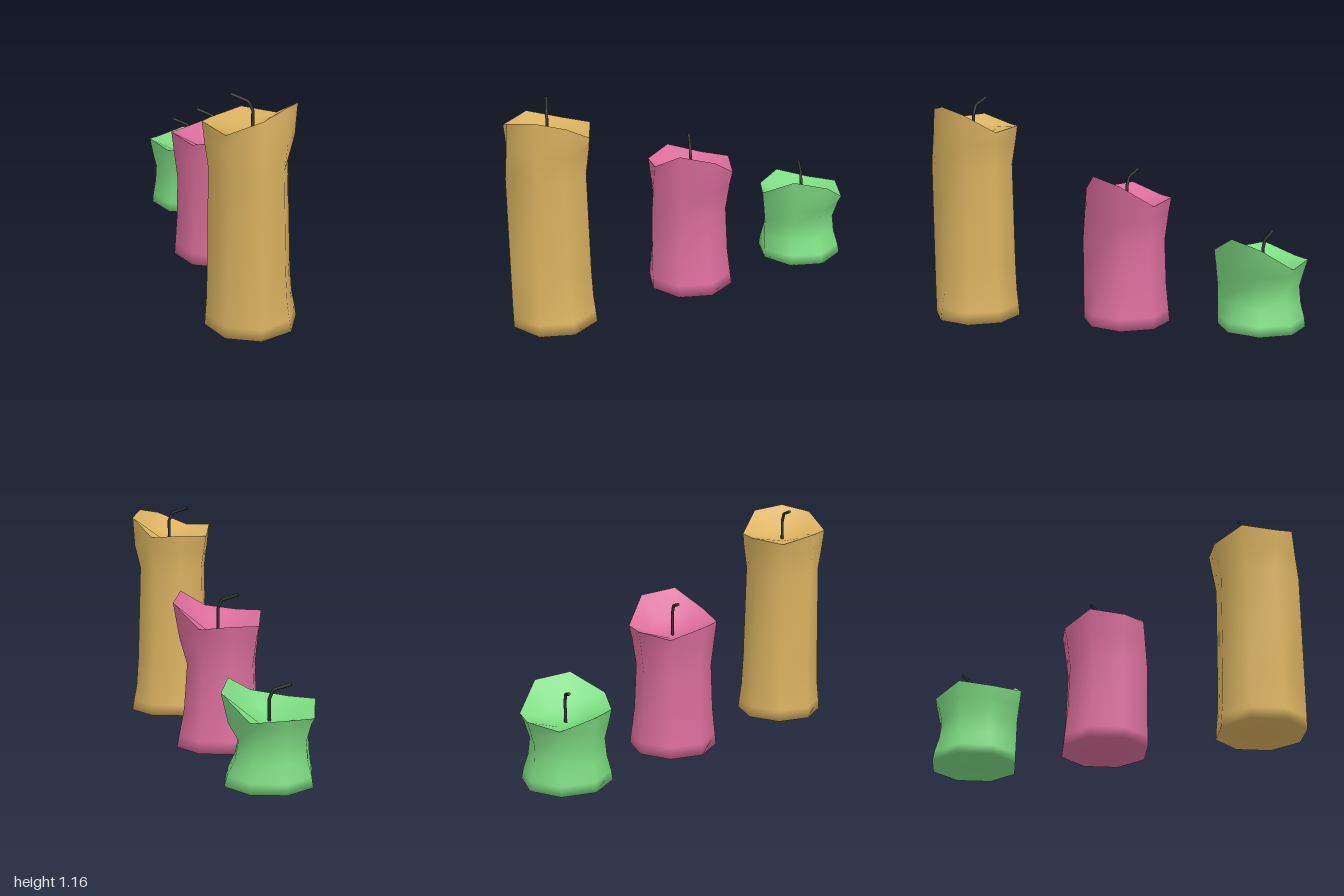
import * as THREE from 'three';

const SIDES = 8;
const RADIUS = 0.229;

// Shared patterns for the eight corners, starting at +x and turning towards +z
const DENT = [1, 0.95, -0.05, 0.5, 0.35, 0.55, 0.5, 0.65]; // how far the wall sags inward
const RIM_RADIUS = [0.246, 0.216, 0.224, 0.228, 0.238, 0.231, 0.233, 0.227];
const RIM_RISE = [0.12, 0.152, 0.057, 0.033, 0.052, 0, 0.022, 0.005];

// rings: [height, sag depth]; the last one flares halfway out to the rim
const CANDLES = [
  {
    name: 'tallCandle', z: 0.757, color: 0xdbb360, floor: 0.98, knee: 1.125,
    rimBase: 1.005, rise: 0.84, lean: 0.033, frontLift: 0.05, frontReach: 0,
    rings: [[0, 0], [0.06, 0.01], [0.14, 0.026], [0.3, 0.038], [0.82, 0.056], [0.95, 0.035]],
  },
  {
    name: 'mediumCandle', z: -0.05, color: 0xdb6e9b, floor: 0.6, knee: 0.765,
    rimBase: 0.645, rise: 1, lean: 0, frontLift: 0, frontReach: -0.01,
    rings: [[0, 0], [0.06, 0.012], [0.2, 0.04], [0.44, 0.058], [0.58, 0.05]],
  },
  {
    name: 'shortCandle', z: -0.76, color: 0x7edc83, floor: 0.3, knee: 0.455,
    rimBase: 0.34, rise: 1, lean: 0, frontLift: 0, frontReach: 0.028,
    rings: [[0, 0], [0.05, 0.014], [0.13, 0.055], [0.22, 0.072], [0.31, 0.055]],
  },
];

// Builds one ring of corners from radius and height rules
function makeRing(radius, height) {
  return Array.from({ length: SIDES }, (_, k) => {
    const a = (k / SIDES) * Math.PI * 2;
    return [radius(k) * Math.cos(a), height(k), radius(k) * Math.sin(a)];
  });
}

// Joins rings and closes one end with a fan
function loft(rings, capPoint, capAtEnd) {
  const pos = rings.flat(2);
  const centre = pos.length / 3;
  const capStart = capAtEnd ? centre - SIDES : 0;
  const idx = [];
  for (let k = 0; k < SIDES; k++) {
    const n = (k + 1) % SIDES;
    for (let j = 0; j < rings.length - 1; j++) {
      const a = j * SIDES + k, b = j * SIDES + n;
      idx.push(a, a + SIDES, b, b, a + SIDES, b + SIDES);
    }
    if (capAtEnd) idx.push(capStart + k, centre, capStart + n);
    else idx.push(capStart + k, capStart + n, centre);
  }
  const g = new THREE.BufferGeometry();
  g.setAttribute('position', new THREE.Float32BufferAttribute([...pos, ...capPoint], 3));
  g.setIndex(idx);
  g.computeVertexNormals();
  return g;
}

function addMesh(parent, name, geometry, material) {
  const mesh = new THREE.Mesh(geometry, material);
  mesh.name = name;
  parent.add(mesh);
  return mesh;
}

// Bent wick: upright stem and a tip leaning to the side
function makeWick(floor, knee, material) {
  const wick = new THREE.Group();
  wick.name = 'wick';
  const pts = [
    new THREE.Vector3(0, floor - 0.02, 0),
    new THREE.Vector3(0.002, knee - 0.045, 0),
    new THREE.Vector3(-0.016, knee, -0.008),
    new THREE.Vector3(-0.093, knee + 0.03, -0.046),
  ];
  const path = new THREE.CurvePath();
  for (let i = 0; i < 3; i++) path.add(new THREE.LineCurve3(pts[i], pts[i + 1]));
  addMesh(wick, 'wickTube', new THREE.TubeGeometry(path, 24, 0.008, 6), material);
  const end = addMesh(wick, 'wickEnd', new THREE.CircleGeometry(0.008, 6), material);
  end.position.copy(pts[3]);
  end.lookAt(pts[3].clone().multiplyScalar(2).sub(pts[2]));
  return wick;
}

function makeCandle(c, wickMaterial) {
  const candle = new THREE.Group();
  candle.name = c.name;
  const wax = new THREE.MeshStandardMaterial({ color: c.color });

  // Uneven rim, high at the front right and low at the back
  const rimRadius = (k) => {
    const lean = c.lean * Math.max(0, Math.cos((k - 0.5) * Math.PI / 4));
    return RIM_RADIUS[k] - lean + (k === 2 ? c.frontReach : 0);
  };
  const rimHeight = (k) => c.rimBase + RIM_RISE[k] * c.rise + (k === 2 ? c.frontLift : 0);
  const rim = makeRing(rimRadius, rimHeight);

  // Sagging outer wall with closed bottom
  const wall = c.rings.map(([y, depth], j) => {
    const flare = j === c.rings.length - 1 ? 0.5 : 0;
    return makeRing((k) => THREE.MathUtils.lerp(RADIUS - depth * DENT[k], rimRadius(k), flare), () => y);
  });
  addMesh(candle, 'waxBody', loft([...wall, rim], [0, 0, 0], false), wax);

  // Melted hollow, running from the sharp rim down to the wick
  const pool = makeRing(
    (k) => rimRadius(k) * 0.55,
    (k) => c.floor + 0.015 + (rimHeight(k) - c.floor) * 0.2,
  );
  addMesh(candle, 'meltedHollow', loft([rim, pool], [0, c.floor, 0], true), wax);

  candle.add(makeWick(c.floor, c.knee, wickMaterial));
  candle.position.set(-0.012, 0, c.z);
  return candle;
}

export function createModel() {
  const model = new THREE.Group();
  model.name = 'candles';
  const wickMaterial = new THREE.MeshStandardMaterial({ color: 0x333333 });
  for (const c of CANDLES) model.add(makeCandle(c, wickMaterial));
  return model;
}
